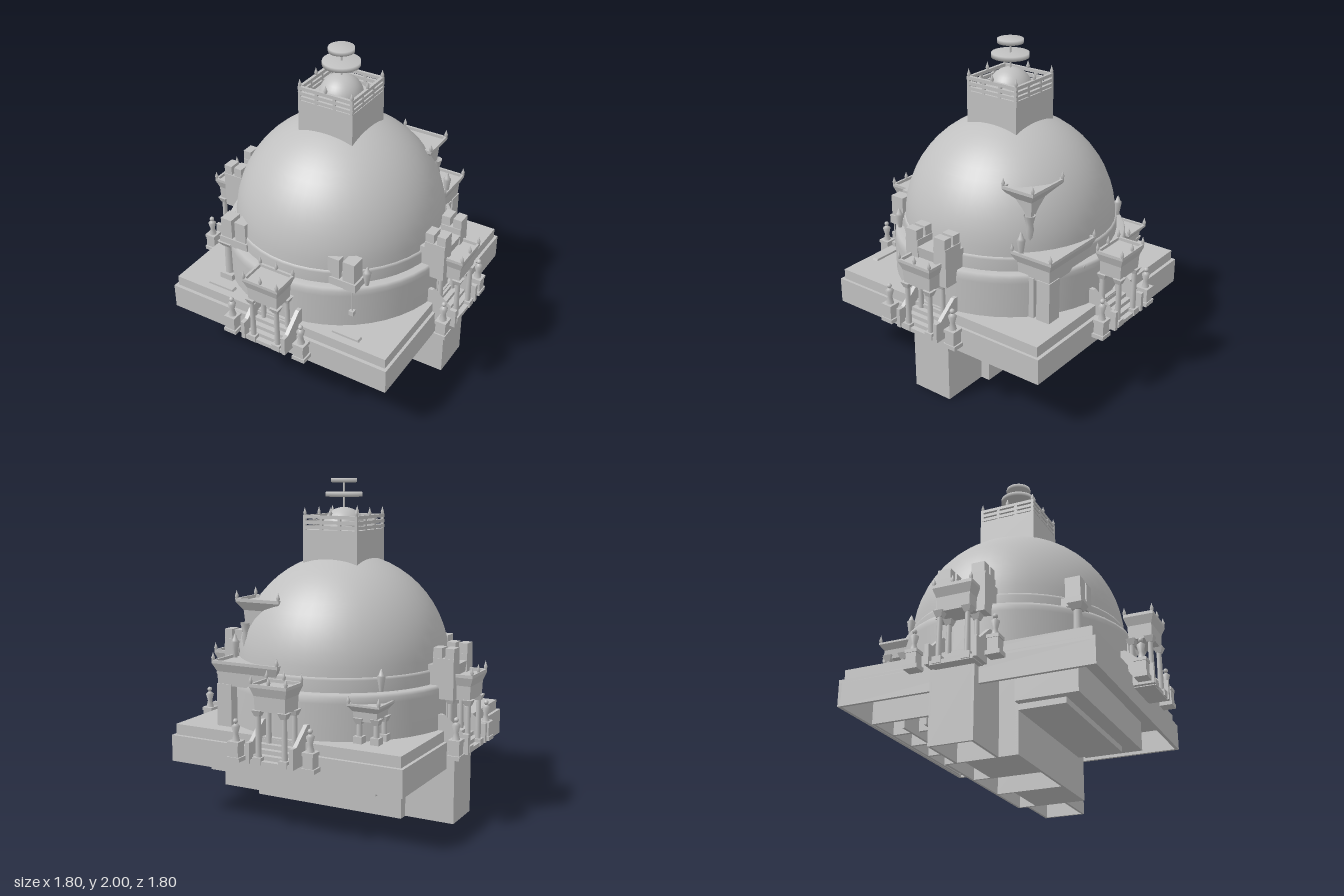
import * as THREE from 'three';

const stone = new THREE.MeshStandardMaterial({ color: 0xc0c0c0, side: THREE.DoubleSide });
stone.name = 'stone';

function add(parent, name, geometry, x = 0, y = 0, z = 0) {
  const m = new THREE.Mesh(geometry, stone);
  m.name = name;
  m.position.set(x, y, z);
  parent.add(m);
  return m;
}

// Box given by its limits; the bottom can shrink by (tx, tz) on each side
function block(parent, name, x0, x1, y0, y1, z0, z1, tx = 0, tz = 0) {
  const g = new THREE.BoxGeometry(x1 - x0, y1 - y0, z1 - z0);
  const p = g.attributes.position;
  for (let i = 0; i < p.count; i++) {
    if (p.getY(i) < 0) {
      p.setX(i, p.getX(i) - Math.sign(p.getX(i)) * tx);
      p.setZ(i, p.getZ(i) - Math.sign(p.getZ(i)) * tz);
    }
  }
  g.computeVertexNormals();
  return add(parent, name, g, (x0 + x1) / 2, (y0 + y1) / 2, (z0 + z1) / 2);
}

function lathe(parent, name, points, x = 0, y = 0, z = 0, segments = 48) {
  const pts = points.map(([r, h]) => new THREE.Vector2(r, h));
  return add(parent, name, new THREE.LatheGeometry(pts, segments), x, y, z);
}

const finial = (parent, x, y, z) =>
  lathe(parent, 'finial', [[0.007, 0], [0.012, 0.02], [0.006, 0.035], [0, 0.055]], x, y, z, 6);

const urn = (parent, x, y, z, h) =>
  lathe(parent, 'urn', [[0.012, 0], [0.026, h * 0.65], [0.016, h * 0.72], [0.008, h * 0.9], [0, h]], x, y, z, 8);

function column(parent, x, z, y0, y1, r = 0.018) {
  block(parent, 'columnBase', x - r * 1.5, x + r * 1.5, y0, y0 + 0.04, z - r * 1.5, z + r * 1.5);
  add(parent, 'columnShaft', new THREE.CylinderGeometry(r * 0.8, r, y1 - y0, 10), x, (y0 + y1) / 2, z);
  block(parent, 'columnCapital', x - r * 1.6, x + r * 1.6, y1 - 0.035, y1, z - r * 1.6, z + r * 1.6, r * 0.7, r * 0.7);
}

// Balcony crown: straight body, flared band, raised rim and finials
function crown(parent, x0, x1, z0, z1, y0, y1, flare = 0.018) {
  const h = y1 - y0, a = y0 + h * 0.55, b = y1 - h * 0.12, t = 0.014;
  block(parent, 'crownBody', x0 + flare, x1 - flare, y0, a, z0 + flare, z1 - flare, flare * 0.2, flare * 0.2);
  block(parent, 'crownFlare', x0, x1, a, b, z0, z1, flare, flare);
  for (const x of [x0, x1 - t]) block(parent, 'crownRim', x, x + t, b, y1, z0, z1);
  for (const z of [z0, z1 - t]) block(parent, 'crownRim', x0, x1, b, y1, z, z + t);
  for (const x of [x0 + t / 2, x1 - t / 2])
    for (const z of [z0 + t / 2, z1 - t / 2]) finial(parent, x, y1 - 0.005, z);
}

function statue(parent, x, z) {
  const g = new THREE.Group();
  g.name = 'statue';
  g.position.set(x, 0, z);
  block(g, 'pedestalFoot', -0.042, 0.042, 0.425, 0.45, -0.038, 0.038);
  block(g, 'pedestal', -0.032, 0.032, 0.45, 0.52, -0.032, 0.032);
  block(g, 'pedestalCap', -0.037, 0.037, 0.52, 0.54, -0.036, 0.036);
  lathe(g, 'figureBody', [[0.024, 0], [0.014, 0.04], [0.026, 0.085], [0.008, 0.1]], 0, 0.54, 0, 8);
  add(g, 'figureHead', new THREE.SphereGeometry(0.015, 8, 6), 0, 0.655, 0);
  parent.add(g);
}

// Gate pavilion facing +z, with stairs, railings and flanking statues
function gate(battlement) {
  const g = new THREE.Group();
  g.name = 'gate';
  crown(g, -0.12, 0.12, 0.715, 0.895, 0.735, 0.89);
  const rail = new THREE.Shape([[0.70, 0.55], [0.70, 0.65], [0.73, 0.65], [0.85, 0.55], [0.89, 0.55],
    [0.89, 0.43], [0.76, 0.43]].map(([a, b]) => new THREE.Vector2(a, b)));
  for (const s of [-1, 1]) {
    for (const z of [0.75, 0.86]) column(g, s * 0.085, z, 0.43, 0.74);
    finial(g, 0, 0.885, s > 0 ? 0.885 : 0.722);
    const r = add(g, 'stairRailing', new THREE.ExtrudeGeometry(rail, { depth: 0.025, bevelEnabled: false }),
      s * 0.1425 + 0.0125);
    r.rotation.y = -Math.PI / 2;
    statue(g, s * 0.243, 0.85);
  }
  for (let i = 0; i < 5; i++)
    block(g, 'step', -0.13, 0.13, 0.425, 0.45 + i * 0.024, 0.71, 0.88 - i * 0.032);
  block(g, 'doorPanel', -0.07, 0.07, 0.55, 0.74, 0.70, 0.725);
  if (battlement) {
    block(g, 'battlementWall', -0.15, 0.15, 0.82, 0.94, 0.62, 0.79, 0, 0.02);
    for (const s of [-1, 1]) {
      const x = s * 0.105;
      block(g, 'battlementTower', x - 0.045, x + 0.045, 0.74, 0.98, 0.66, 0.79);
      for (const z of [0.66, 0.735]) block(g, 'merlon', x - 0.04, x + 0.04, 0.98, 1.04, z, z + 0.055);
    }
  }
  return g;
}

export function createModel() {
  const model = new THREE.Group();
  model.name = 'domedShrine';

  // Hollow terrace: top plates and an open skirt
  block(model, 'terraceTop', -0.74, 0.737, 0.49, 0.555, -0.75, 0.743);
  block(model, 'terracePlate', -0.76, 0.755, 0.47, 0.49, -0.772, 0.765);
  for (const [x0, x1, z0, z1] of [[-0.76, 0.755, 0.745, 0.765], [-0.76, 0.755, -0.772, -0.752],
    [-0.76, -0.74, -0.772, 0.765], [0.735, 0.755, -0.772, 0.765]])
    block(model, 'terraceSkirt', x0, x1, 0.33, 0.47, z0, z1);

  // Foundation corridor: wide middle, narrower ends, cross walls, open below
  for (const z of [-0.22, 0.205]) block(model, 'corridorWall', -0.5, 0.5, 0, 0.47, z, z + 0.015);
  for (const x of [-0.5, -0.17, 0.155, 0.485]) block(model, 'crossWall', x, x + 0.015, 0, 0.47, -0.22, 0.22);
  for (const [x0, x1, end] of [[-0.81, -0.5, -0.81], [0.5, 0.8, 0.785]]) {
    for (const z of [-0.16, 0.09]) block(model, 'endWall', x0, x1, 0, 0.43, z, z + 0.015);
    block(model, 'endPanel', end, end + 0.015, 0, 0.43, -0.16, 0.105);
    block(model, 'endRoof', x0, x1, 0.42, 0.435, -0.16, 0.105);
  }
  for (const x of [-0.5, 0.17]) block(model, 'corridorFloor', x, x + 0.33, 0, 0.012, -0.1, 0.22);

  // Lower chambers on both sides of the corridor, with open ribs at the back
  block(model, 'frontChamber', -0.5, 0.42, 0.25, 0.47, 0.22, 0.5);
  block(model, 'frontLedge', -0.55, 0.545, 0.285, 0.47, 0.22, 0.59);
  for (const z of [-0.5, -0.36]) block(model, 'chamberWall', -0.5, 0.42, 0.25, 0.47, z, z + 0.015);
  block(model, 'backLedge', -0.55, 0.545, 0.28, 0.47, -0.67, -0.655);
  for (let i = 0; i < 6; i++) {
    const x = -0.55 + i * 0.215;
    block(model, 'chamberRib', x, x + 0.02, 0.28, 0.47, -0.66, -0.22);
  }

  // Drum, collar and dome
  lathe(model, 'drum', [[0.72, 0.55], [0.72, 0.77], [0.718, 0.8], [0.708, 0.82], [0.64, 0.82]]);
  lathe(model, 'drumCollar', [[0.662, 0.81], [0.662, 0.89], [0.655, 0.905], [0.63, 0.905]]);
  const profile = [];
  for (let i = 0; i <= 14; i++) {
    const a = (i / 14) * Math.PI / 2;
    profile.push([0.652 * Math.cos(a), 0.89 + 0.66 * Math.sin(a)]);
  }
  lathe(model, 'dome', profile);

  // Square railing house on the dome
  block(model, 'railingHouse', -0.183, 0.183, 1.44, 1.695, -0.183, 0.183);
  for (let k = 0; k < 4; k++) {
    const side = new THREE.Group();
    side.name = 'railingSide';
    side.rotation.y = k * Math.PI / 2;
    for (const y of [1.7, 1.73, 1.762]) block(side, 'rail', -0.183, 0.183, y, y + 0.02, 0.165, 0.183);
    for (const x of [-0.174, -0.06, 0.06]) block(side, 'railPost', x - 0.009, x + 0.009, 1.69, 1.78, 0.166, 0.182);
    finial(side, 0.174, 1.775, 0.174);
    finial(side, 0, 1.775, 0.174);
    model.add(side);
  }

  // Spire: small dome, pole and two parasols
  add(model, 'spireDome', new THREE.SphereGeometry(0.135, 32, 10, 0, Math.PI * 2, 0, Math.PI / 2), 0, 1.692, 0);
  add(model, 'spirePole', new THREE.CylinderGeometry(0.006, 0.006, 0.19, 8), 0, 1.9, 0);
  for (const [r, y, h] of [[0.113, 1.89, 0.027], [0.078, 1.975, 0.025]])
    lathe(model, 'parasol', [[0, 0], [r, 0], [r, h], [0, h]], 0, y, 0, 32);

  // Four gates; the side ones carry battlements
  for (let k = 0; k < 4; k++) {
    const g = gate(k % 2 === 1);
    g.rotation.y = k * Math.PI / 2;
    model.add(g);
  }

  // Twin turrets on the front shoulders and thin plates on the terrace
  for (const s of [-1, 1]) {
    const g = new THREE.Group();
    g.name = 'frontTurrets';
    const c = s < 0 ? -0.4 : 0.355;
    block(g, 'turretBase', c - 0.1, c + 0.1, 0.815, 0.87, 0.48, 0.6);
    for (const d of [-0.05, 0.05])
      block(g, 'turret', c + d - 0.038, c + d + 0.038, 0.86, 1.0, 0.5, 0.592);
    block(g, 'terracePlaque', s * 0.445 - 0.085, s * 0.445 + 0.085, 0.55, 0.568, 0.655, 0.695, -0.01, 0);
    model.add(g);
  }
  column(model, -0.465, 0.565, 0.555, 0.83, 0.03);
  urn(model, 0.475, 0.82, 0.5, 0.13);
  block(model, 'lanternCord', 0.427, 0.433, 0.66, 0.83, 0.587, 0.593);
  block(model, 'lantern', 0.415, 0.445, 0.645, 0.675, 0.575, 0.605);

  // Balconies growing out of the rear of the dome and drum
  crown(model, 0.16, 0.46, -0.51, -0.29, 1.14, 1.3, 0.035);
  lathe(model, 'balconyBracket', [[0.012, 0], [0.026, 0.1], [0.02, 0.13], [0.035, 0.19]], 0.42, 0.96, -0.46, 8);
  crown(model, 0.07, 0.52, -0.68, -0.4, 0.8, 0.95, 0.022);
  block(model, 'balconyPier', 0.4, 0.5, 0.555, 0.81, -0.66, -0.57);
  block(model, 'balconyPier', 0.1, 0.2, 0.555, 0.81, -0.69, -0.62);
  block(model, 'balconyPier', 0.43, 0.5, 0.555, 0.81, -0.55, -0.46);
  urn(model, 0.5, 0.93, -0.46, 0.15);
  crown(model, -0.56, -0.36, -0.65, -0.4, 0.68, 0.78, 0.025);
  for (const [x, z] of [[-0.52, -0.6], [-0.42, -0.61], [-0.52, -0.5]]) column(model, x, z, 0.555, 0.7, 0.018);
  urn(model, -0.49, 0.83, -0.48, 0.13);

  return model;
}
